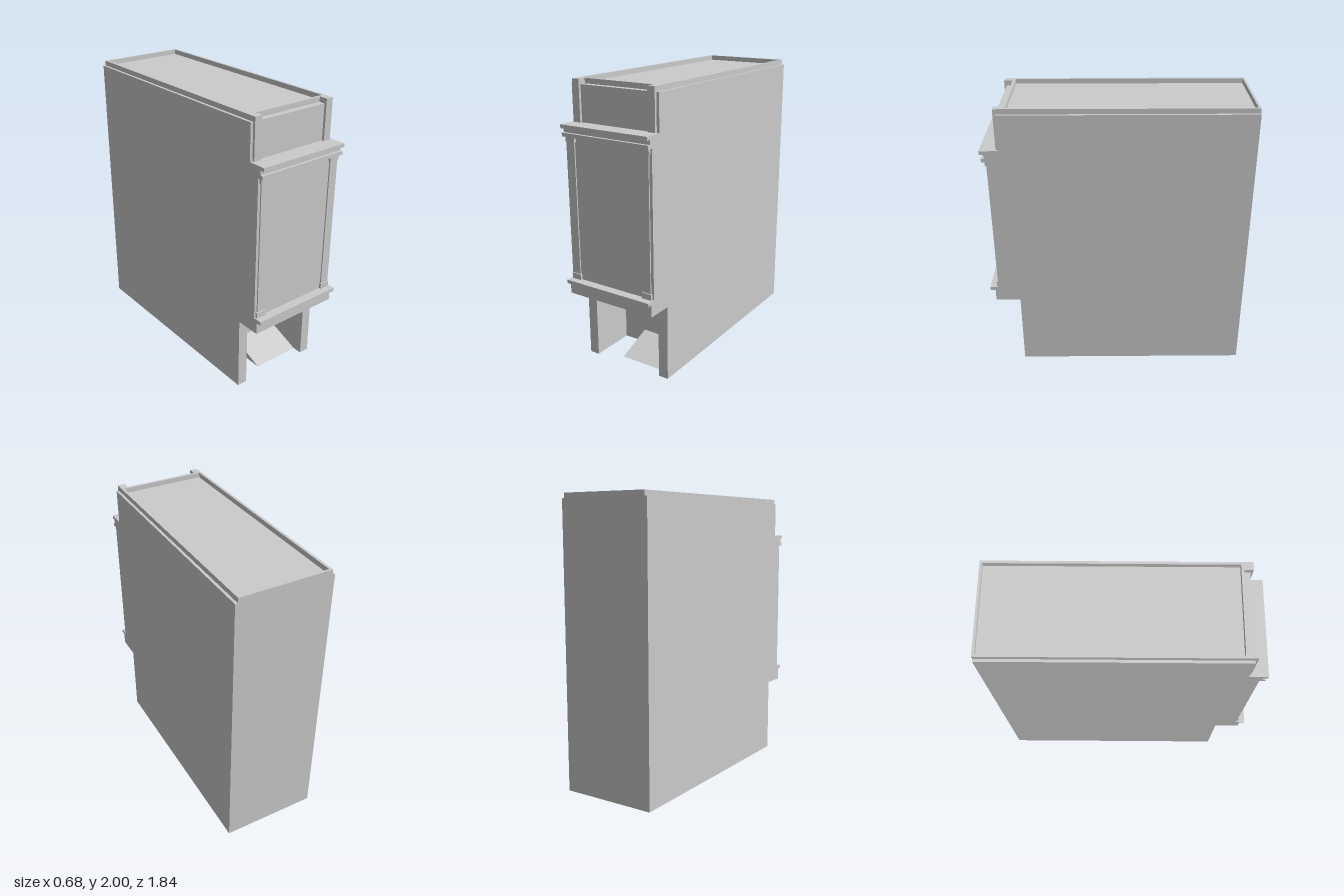
import * as THREE from 'three';

const W = 0.341;      // half width of the building
const IN = 0.268;     // half width between the piers
const PAR = 0.322;    // half width of the parapet
const BACK = -0.92, PIER = 0.71, RECESS = 0.38;
const LINTEL = 0.54, ROOF = 1.965, TOP = 2.0;

const material = new THREE.MeshStandardMaterial({ color: 0xcccccc, side: THREE.DoubleSide, flatShading: true });

export function createModel() {
  const model = new THREE.Group();
  model.name = 'terraceBuilding';

  function add(name, geometry) {
    const mesh = new THREE.Mesh(geometry, material);
    mesh.name = name;
    model.add(mesh);
    return mesh;
  }

  // Box given by its limits on each axis
  function box(name, [x0, x1], [y0, y1], [z0, z1]) {
    const g = new THREE.BoxGeometry(x1 - x0, y1 - y0, z1 - z0);
    g.translate((x0 + x1) / 2, (y0 + y1) / 2, (z0 + z1) / 2);
    return add(name, g);
  }

  // Folded sheet: a path of [z, y] points swept from x0 to x1
  function strip(name, path, x0, x1) {
    const v = [];
    for (let i = 0; i < path.length - 1; i++) {
      const [za, ya] = path[i], [zb, yb] = path[i + 1];
      v.push(x0, ya, za, x1, ya, za, x1, yb, zb);
      v.push(x0, ya, za, x1, yb, zb, x0, yb, zb);
    }
    const g = new THREE.BufferGeometry();
    g.setAttribute('position', new THREE.Float32BufferAttribute(v, 3));
    g.computeVertexNormals();
    return add(name, g);
  }

  // Flat wall in the z-y plane at a given x
  function sideWall(name, outline, x) {
    const shape = new THREE.Shape(outline.map(([z, y]) => new THREE.Vector2(z, y)));
    const g = new THREE.ShapeGeometry(shape);
    g.rotateY(-Math.PI / 2).translate(x, 0, 0);
    return add(name, g);
  }

  // Facade with fascia, sill, cornice and attic, then roof and back wall
  const profile = [
    [PIER, LINTEL], [0.885, LINTEL], [0.885, 0.625], [0.92, 0.625], [0.92, 0.65],
    [0.857, 0.65], [0.857, 1.64], [0.895, 1.64], [0.895, 1.665], [0.875, 1.665],
    [0.875, 1.695], [0.905, 1.695], [0.905, 1.72], [0.778, 1.72], [0.778, ROOF],
    [BACK, ROOF], [BACK, 0],
  ];
  strip('facadeRoofAndBack', profile, -W, W);

  // Entrance recess with its ceiling, open underneath
  strip('entranceRecess', [[RECESS, 0], [RECESS, LINTEL], [PIER, LINTEL]], -IN, IN);

  // Ramp beside the left pier
  const rampX = -0.094;
  strip('rampSlope', [[0.64, 0], [RECESS, 0.1]], rampX, IN);
  sideWall('rampSide', [[0.64, 0], [RECESS, 0.1], [RECESS, 0]], rampX);

  for (const s of [-1, 1]) {
    const side = s > 0 ? 'left' : 'right';
    const span = (a, b) => (s > 0 ? [a, b] : [-b, -a]);

    // Outer walls and entrance piers
    sideWall(side + 'Wall', [...profile, [PIER, 0]], s * W);
    strip(side + 'PierFront', [[PIER, 0], [PIER, LINTEL]], ...span(IN, W));
    sideWall(side + 'PierInside', [[RECESS, 0], [PIER, 0], [PIER, LINTEL], [RECESS, LINTEL]], s * IN);

    // Pilaster with base and capital
    box(side + 'PilasterShaft', span(0.266, 0.321), [0.65, 1.64], [0.85, 0.866]);
    box(side + 'PilasterBase', span(0.258, 0.33), [0.65, 0.69], [0.85, 0.874]);
    box(side + 'PilasterCapital', span(0.258, 0.33), [1.605, 1.64], [0.85, 0.874]);

    // Parapet side and attic corner post
    box(side + 'Parapet', span(0.304, PAR), [ROOF, TOP], [BACK, 0.735]);
    box(side + 'AtticPost', span(IN, PAR), [1.72, TOP], [0.717, 0.795]);
  }

  // Parapet front and back
  box('frontParapet', [-IN, IN], [ROOF, TOP], [0.717, 0.735]);
  box('backParapet', [-0.304, 0.304], [ROOF, TOP], [BACK, -0.904]);

  return model;
}
